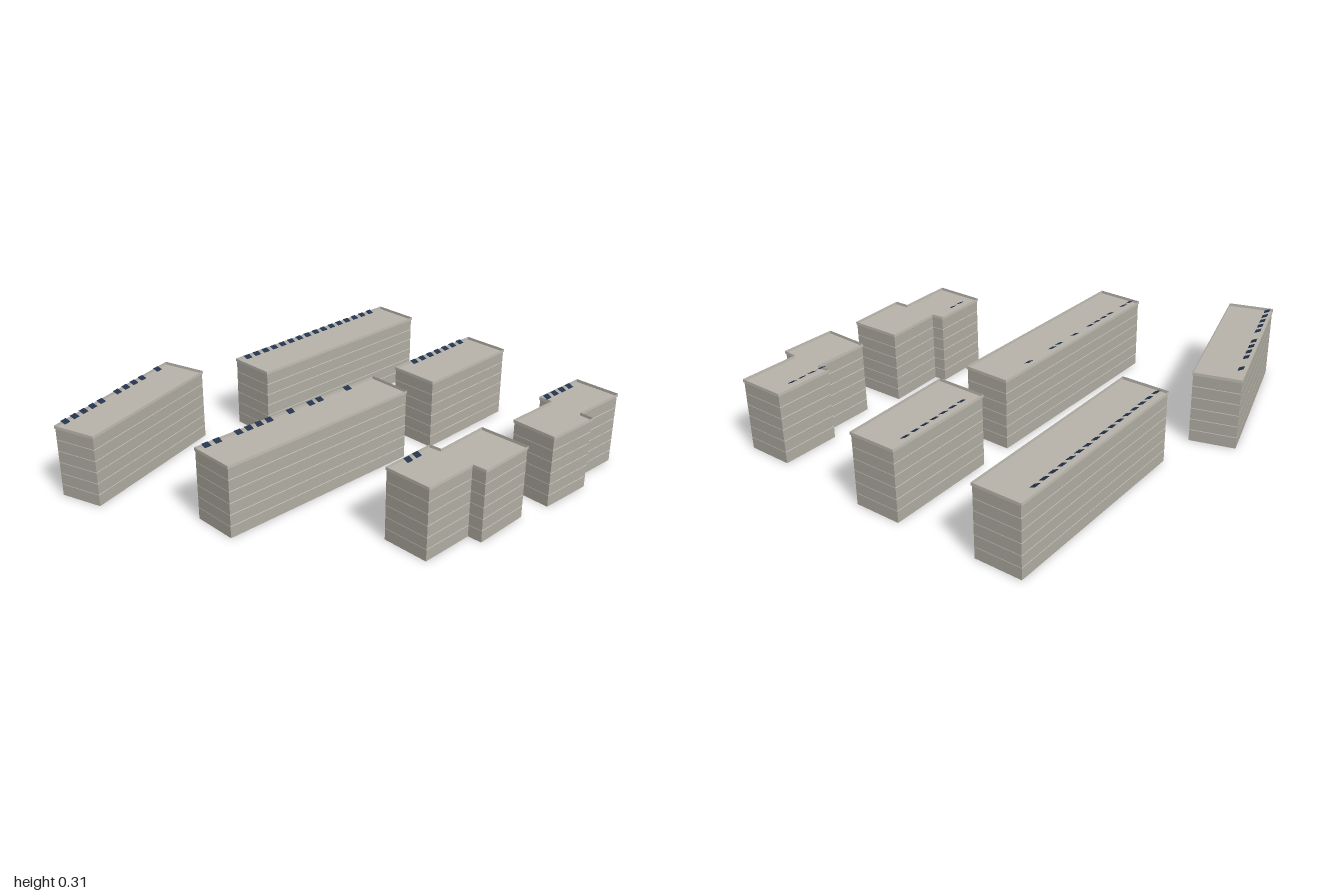
import * as THREE from 'three';
import { mergeGeometries } from 'three/addons/utils/BufferGeometryUtils.js';

const WALL_TOP = 0.284, PARAPET_TOP = 0.296, FLOORS = 6;
const BAND = 0.003;      // height of the pale line at each floor
const OVERHANG = 0.003;  // parapet stands this far out from the walls

const mat = (name, color, side = THREE.DoubleSide) => {
  const m = new THREE.MeshStandardMaterial({ color, side });
  m.name = name;
  return m;
};

// Footprints run clockwise seen from above, as [x, z].
// Panel runs are [start x, start z, end x, end z, count].
const BLOCKS = [
  { name: 'angledBlock',
    plan: [[-1, -0.32], [-0.41, -0.665], [-0.316, -0.5], [-0.906, -0.163]],
    panels: [[-0.954, -0.324, -0.778, -0.425, 5], [-0.693, -0.476, -0.561, -0.551, 4], [-0.473, -0.602, -0.473, -0.602, 1]] },
  { name: 'backBlock',
    plan: [[-0.142, -0.548], [0.719, -0.764], [0.767, -0.57], [-0.094, -0.356]],
    panels: [[-0.094, -0.53, 0.628, -0.719, 16]] },
  { name: 'middleBlock',
    plan: [[-0.623, 0.099], [0.259, -0.104], [0.302, 0.083], [-0.58, 0.286]],
    panels: [[-0.58, 0.113, -0.532, 0.102, 2], [-0.436, 0.08, -0.294, 0.046, 4], [-0.19, 0.022, -0.19, 0.022, 1],
      [-0.088, -0.001, -0.043, -0.013, 2], [0.104, -0.048, 0.104, -0.048, 1]] },
  { name: 'sideBlock',
    plan: [[0.388, -0.136], [0.848, -0.249], [0.896, -0.056], [0.436, 0.067]],
    panels: [[0.484, -0.134, 0.773, -0.211, 7]] },
  { name: 'frontRightSteppedBlock',
    plan: [[-0.112, 0.564], [0.115, 0.505], [0.131, 0.553], [0.361, 0.489], [0.414, 0.693], [0.174, 0.76], [0.158, 0.703], [-0.064, 0.76]],
    panels: [[-0.019, 0.567, 0.027, 0.553, 2]] },
  { name: 'frontLeftSteppedBlock',
    plan: [[0.5, 0.5], [0.73, 0.447], [0.714, 0.393], [0.955, 0.339], [1, 0.527], [0.757, 0.58], [0.767, 0.639], [0.538, 0.687]],
    panels: [[0.735, 0.414, 0.874, 0.382, 4]] },
];

// Move every side of a footprint inwards by d (corners are nearly square)
function inset(plan, d) {
  const n = plan.length;
  const inward = (a, b) => {
    const dx = b[0] - a[0], dz = b[1] - a[1], len = Math.hypot(dx, dz);
    return [-dz / len * d, dx / len * d];
  };
  return plan.map((p, i) => {
    const u = inward(plan[(i + n - 1) % n], p), v = inward(p, plan[(i + 1) % n]);
    return [p[0] + u[0] + v[0], p[1] + u[1] + v[1]];
  });
}

// Open vertical band of walls following a footprint
function wallBand(plan, y0, y1) {
  const pos = [];
  plan.forEach((a, i) => {
    const b = plan[(i + 1) % plan.length];
    const p = (q, y) => [q[0], y, q[1]];
    pos.push(...p(b, y0), ...p(a, y0), ...p(a, y1), ...p(b, y0), ...p(a, y1), ...p(b, y1));
  });
  const g = new THREE.BufferGeometry();
  g.setAttribute('position', new THREE.Float32BufferAttribute(pos, 3));
  g.computeVertexNormals();
  return g;
}

// Storey walls with flush pale lines between the floors
function storeys(plan) {
  const walls = [], lines = [];
  let bottom = 0;
  for (let f = 1; f <= FLOORS; f++) {
    const y = f * WALL_TOP / FLOORS;
    if (f === FLOORS) {
      walls.push(wallBand(plan, bottom, y));
    } else {
      walls.push(wallBand(plan, bottom, y - BAND / 2));
      lines.push(wallBand(plan, y - BAND / 2, y + BAND / 2));
      bottom = y + BAND / 2;
    }
  }
  return [mergeGeometries(walls), mergeGeometries(lines)];
}

// Solar panels tilted towards the front of the block
function solarPanels({ plan, panels }) {
  const yaw = Math.atan2(plan[0][1] - plan[1][1], plan[1][0] - plan[0][0]);
  const parts = [];
  for (const [x0, z0, x1, z1, n] of panels) {
    for (let i = 0; i < n; i++) {
      const t = n > 1 ? i / (n - 1) : 0;
      parts.push(new THREE.PlaneGeometry(0.03, 0.024)
        .rotateX(0.4 - Math.PI / 2).rotateY(yaw)
        .translate(x0 + (x1 - x0) * t, 0.301, z0 + (z1 - z0) * t));
    }
  }
  return mergeGeometries(parts);
}

export function createModel() {
  const wall = mat('wall concrete', 0xb1ada3);
  const line = mat('floor line', 0xdcd9d2);
  const parapet = mat('parapet concrete', 0xc2beb5);
  const roof = mat('roof', 0xb8b4ab);
  const panel = mat('solar panel', 0x22324c);

  const model = new THREE.Group();
  model.name = 'housingBlocks';
  for (const block of BLOCKS) {
    const group = new THREE.Group();
    group.name = block.name;
    const add = (name, geometry, material) => {
      const mesh = new THREE.Mesh(geometry, material);
      mesh.name = name;
      group.add(mesh);
    };
    const shape = new THREE.Shape(block.plan.map(([x, z]) => new THREE.Vector2(x, -z)));
    const [walls, lines] = storeys(inset(block.plan, OVERHANG));
    add('walls', walls, wall);
    add('floorLines', lines, line);
    add('parapet', wallBand(block.plan, WALL_TOP, PARAPET_TOP), parapet);
    add('roof', new THREE.ShapeGeometry(shape).rotateX(-Math.PI / 2).translate(0, WALL_TOP, 0), roof);
    add('solarPanels', solarPanels(block), panel);
    model.add(group);
  }
  return model;
}
